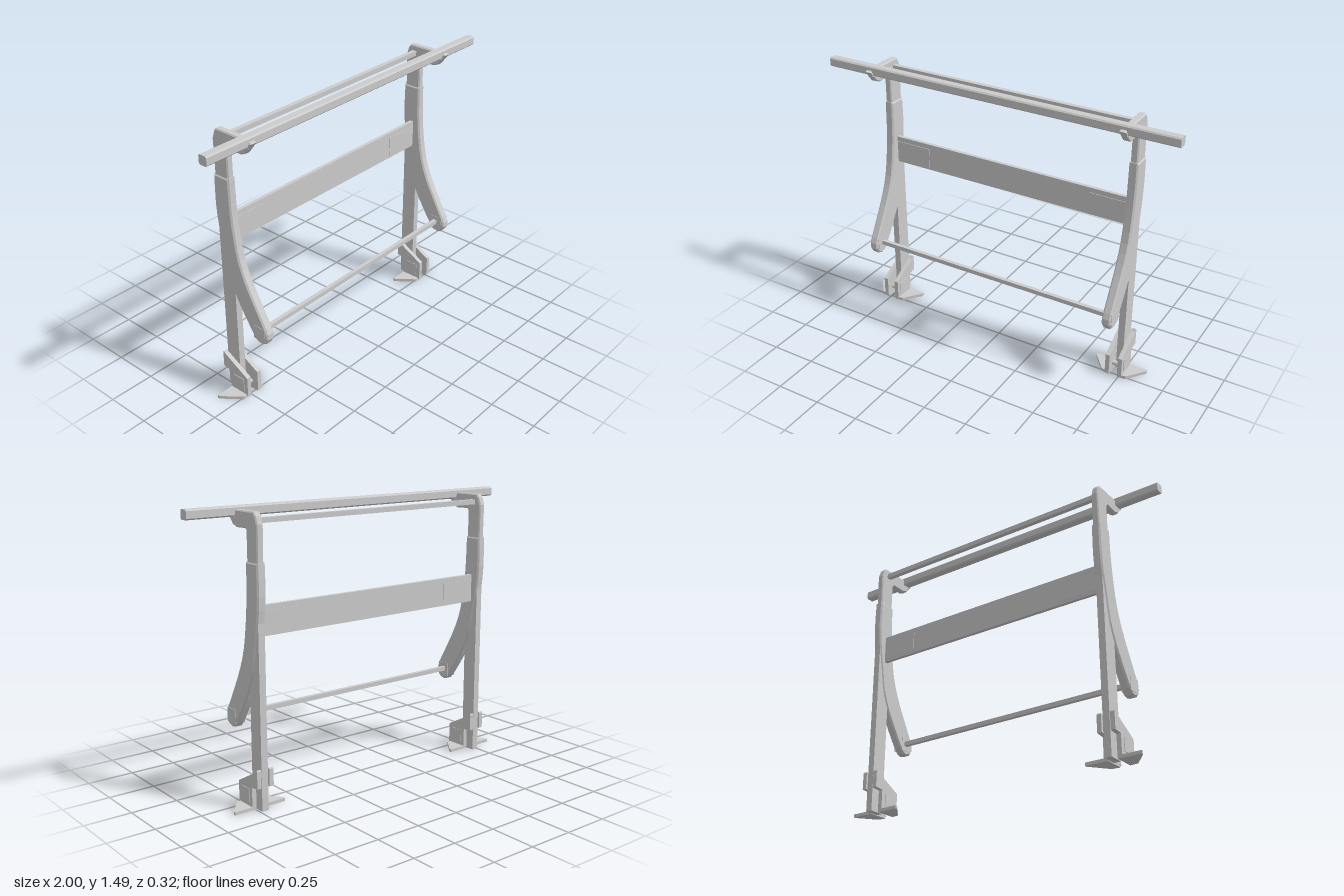
import * as THREE from 'three';

const grey = new THREE.MeshStandardMaterial({ color: 0xcccccc, flatShading: true });

function add(parent, name, geometry, x = 0, y = 0, z = 0) {
  const mesh = new THREE.Mesh(geometry, grey);
  mesh.name = name;
  mesh.position.set(x, y, z);
  parent.add(mesh);
  return mesh;
}

function box(parent, name, w, h, d, x, y, z) {
  return add(parent, name, new THREE.BoxGeometry(w, h, d), x, y, z);
}

// Side profile given as [z, y] points, extruded to a width centred on x
function sidePlate(parent, name, points, width, x = 0, bevel = 0) {
  const shape = new THREE.Shape(points.map(([z, y]) => new THREE.Vector2(-z, y)));
  const geometry = new THREE.ExtrudeGeometry(shape, {
    depth: width - 2 * bevel, bevelEnabled: bevel > 0, bevelSize: bevel,
    bevelOffset: -bevel, bevelThickness: bevel, bevelSegments: 1,
  });
  geometry.translate(0, 0, -width / 2 + bevel);
  geometry.rotateY(Math.PI / 2);
  return add(parent, name, geometry, x);
}

// Curved sleeve, sampled smoothly along its back and front edges
function sleeveProfile() {
  const edge = (pts, n) => new THREE.SplineCurve(pts.map((p) => new THREE.Vector2(...p)))
    .getPoints(n).map((p) => [p.x, p.y]);
  const back = edge([[-0.155, 1.24], [-0.158, 1.08], [-0.145, 0.95], [-0.122, 0.82],
    [-0.1, 0.7], [-0.058, 0.6], [0, 0.5], [0.06, 0.41]], 14);
  const tip = [[0.085, 0.383], [0.11, 0.377], [0.14, 0.387], [0.16, 0.42], [0.158, 0.45]];
  const front = edge([[0.145, 0.48], [0.1, 0.56], [0.03, 0.69], [-0.015, 0.81],
    [-0.04, 0.95], [-0.052, 1.08], [-0.056, 1.24]], 14);
  return [...back, ...tip, ...front];
}

const hookProfile = [[-0.06, 1.2], [-0.06, 1.385], [-0.05, 1.395], [0.03, 1.393], [0.06, 1.405],
  [0.11, 1.468], [0.09, 1.472], [0.085, 1.445], [0.04, 1.445], [0.035, 1.477],
  [-0.125, 1.478], [-0.14, 1.46], [-0.153, 1.42], [-0.15, 1.2]];

const bracketProfile = [[0.02, 0.01], [0.02, 0.125], [-0.135, 0.21], [-0.145, 0.222],
  [-0.15, 0.215], [-0.15, 0.125], [-0.1, 0.12], [-0.1, 0.01]];

function createSide(name, x) {
  const side = new THREE.Group();
  side.name = name;
  side.position.x = x;

  box(side, 'post', 0.037, 1.15, 0.085, 0, 0.575, -0.1025);
  sidePlate(side, 'curvedSleeve', sleeveProfile(), 0.05, 0, 0.008);
  sidePlate(side, 'upperHook', hookProfile, 0.038, 0, 0.006);

  // Foot: two upright brackets, each with a flat tapered flange
  for (const s of [-1, 1]) {
    sidePlate(side, 'footBracket', bracketProfile, 0.024, s * 0.036);
    box(side, 'bracketPad', 0.004, 0.07, 0.07, s * 0.049, 0.073, -0.04);
    const flange = new THREE.Shape([
      [0.025, 0.1], [0.148, 0.1], [0.148, 0.088], [0.07, -0.01], [0.025, -0.015],
    ].map(([a, b]) => new THREE.Vector2(s * a, b)));
    const geometry = new THREE.ExtrudeGeometry(flange, { depth: 0.017, bevelEnabled: false });
    geometry.rotateX(-Math.PI / 2);
    add(side, 'footFlange', geometry);
    // Square cover over the lower rod end
    box(side, 'rodCover', 0.003, 0.075, 0.075, s * 0.0255, 0.438, 0.105);
  }
  const bolt = new THREE.CylinderGeometry(0.014, 0.014, 0.08, 10);
  bolt.rotateZ(Math.PI / 2);
  add(side, 'footBolt', bolt, 0, 0.05, -0.03);
  return side;
}

export function createModel() {
  const model = new THREE.Group();
  model.name = 'barFrame';
  const mid = -0.007, half = 0.728;

  model.add(createSide('leftSide', mid + half), createSide('rightSide', mid - half));

  // Long top bar with slightly chamfered edges
  const w = 0.025, c = 0.007;
  const barShape = new THREE.Shape([[-w, -w + c], [-w + c, -w], [w - c, -w], [w, -w + c],
    [w, w - c], [w - c, w], [-w + c, w], [-w, w - c]].map((p) => new THREE.Vector2(...p)));
  const bar = new THREE.ExtrudeGeometry(barShape, { depth: 2, bevelEnabled: false });
  bar.translate(0, 0, -1).rotateY(Math.PI / 2);
  add(model, 'topBar', bar, 0, 1.467, 0.061);

  // Rods between the sides
  const span = 2 * half - 0.02;
  box(model, 'upperRod', span, 0.026, 0.026, mid, 1.434, -0.1);
  box(model, 'lowerRod', span, 0.024, 0.022, mid, 0.441, 0.1);

  // Cross panel with an end patch at each side
  box(model, 'crossPanel', span, 0.153, 0.02, mid, 0.952, -0.097);
  for (const s of [-1, 1]) {
    box(model, 'panelPatch', 0.21, 0.112, 0.026, mid + s * 0.595, 0.945, -0.097);
  }
  return model;
}
